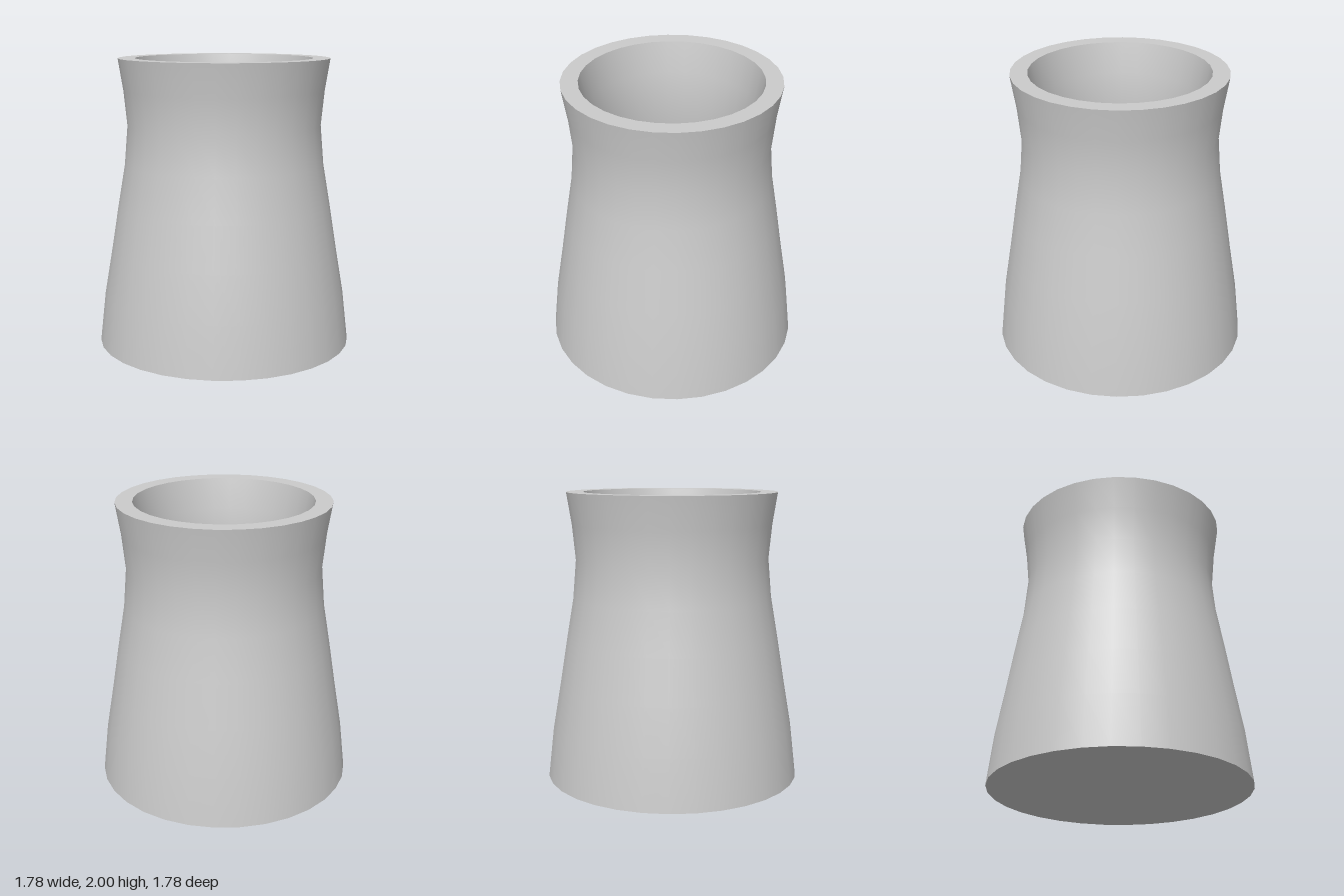
import * as THREE from 'three';

const SEGMENTS = 32;
const WALL = 0.125;
const FLOOR = 0.12;

// Outer silhouette: radius, height
const PROFILE = [
  [0.89, 0], [0.85, 0.35], [0.795, 0.67], [0.745, 0.98],
  [0.695, 1.27], [0.672, 1.54], [0.695, 1.78], [0.73, 2],
];

export function createModel() {
  const group = new THREE.Group();
  group.name = 'flaredVessel';
  const material = new THREE.MeshStandardMaterial({ color: 0xcccccc });

  // Each turned surface is its own mesh, so edges between them stay sharp
  const turn = (name, points) => {
    const geometry = new THREE.LatheGeometry(
      points.map(([r, y]) => new THREE.Vector2(r, y)), SEGMENTS);
    const mesh = new THREE.Mesh(geometry, material);
    mesh.name = name;
    group.add(mesh);
  };

  // Inner wall follows the outer one, from the rim down to the floor
  const inner = PROFILE.map(([r, y]) => [r - WALL, Math.max(y, FLOOR)]).reverse();
  inner[0][0] = 0.613;
  const rim = PROFILE[PROFILE.length - 1];
  const floor = inner[inner.length - 1];

  turn('base', [[0, 0], PROFILE[0]]);
  turn('outerWall', PROFILE);
  turn('rim', [rim, inner[0]]);
  turn('innerWall', inner);
  turn('floor', [floor, [0, FLOOR]]);

  return group;
}
